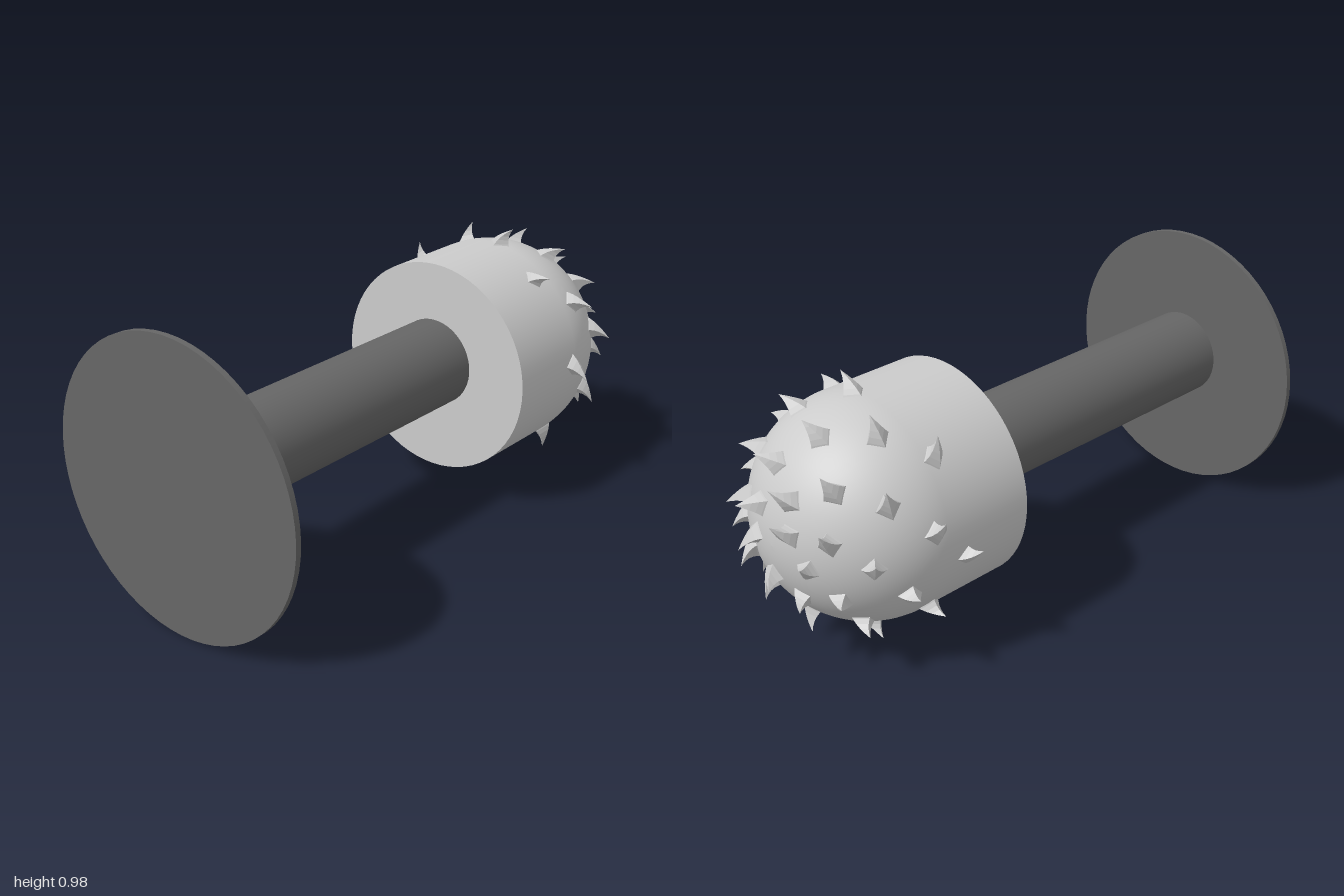
import * as THREE from 'three';

const AXIS_Y = 0.49;
const HEAD_R = 0.378;
const DOME_X = 0.58; // where the straight head wall turns into the dome
const SPIKES = 39;

const light = new THREE.MeshStandardMaterial({ color: 0xcccccc });
const faceted = new THREE.MeshStandardMaterial({ color: 0xcccccc, flatShading: true });
const dark = new THREE.MeshStandardMaterial({ color: 0x666666 });

function addMesh(parent, name, geometry, material) {
  const mesh = new THREE.Mesh(geometry, material);
  mesh.name = name;
  parent.add(mesh);
  return mesh;
}

// Cylinder lying along x between two positions
function rod(radius, x0, x1) {
  return new THREE.CylinderGeometry(radius, radius, x1 - x0, 64)
    .rotateZ(-Math.PI / 2)
    .translate((x0 + x1) / 2, 0, 0);
}

// Four-sided thorn whose tip curls over towards local +x
function thornGeometry() {
  const height = 0.075, sunk = 0.012;
  const geometry = new THREE.ConeGeometry(0.046, height, 4, 5);
  const p = geometry.attributes.position;
  for (let i = 0; i < p.count; i++) {
    const t = p.getY(i) / height + 0.5;
    p.setXYZ(i, p.getX(i) + 0.05 * t * t, t * height - sunk, p.getZ(i));
  }
  geometry.computeVertexNormals();
  return geometry;
}

export function createModel() {
  const model = new THREE.Group();
  model.name = 'spikedRoundHeadTool';
  const body = new THREE.Group();
  body.name = 'body';
  body.position.y = AXIS_Y;
  model.add(body);

  // End plate and shaft
  addMesh(body, 'endPlate', rod(0.488, -1, -0.98), dark);
  addMesh(body, 'shaft', rod(0.155, -0.98, 0.26), dark).position.y = 0.02;

  // Head: straight wall running into a hemisphere, closed by a flat back
  const profile = [new THREE.Vector2(HEAD_R, 0.25)];
  for (let i = 0; i <= 24; i++) {
    const a = (i / 24) * Math.PI / 2;
    profile.push(new THREE.Vector2(i === 24 ? 0 : HEAD_R * Math.cos(a), DOME_X + HEAD_R * Math.sin(a)));
  }
  addMesh(body, 'head', new THREE.LatheGeometry(profile, 64).rotateZ(-Math.PI / 2), light);
  const back = new THREE.CircleGeometry(HEAD_R, 64).rotateY(-Math.PI / 2).translate(0.25, 0, 0);
  addMesh(body, 'headBack', back, light);

  // Thorns on a golden-angle spiral, all curling the same way round the axis
  const thorns = new THREE.Group();
  thorns.name = 'thorns';
  body.add(thorns);
  const thorn = thornGeometry();
  for (let i = 0; i < SPIKES; i++) {
    const polar = THREE.MathUtils.degToRad(13 + 2.33 * i);
    const turn = THREE.MathUtils.degToRad(174.5 - 137.508 * i);
    const normal = new THREE.Vector3(
      Math.cos(polar), Math.sin(polar) * Math.sin(turn), -Math.sin(polar) * Math.cos(turn));
    const curl = new THREE.Vector3(0, Math.cos(turn), Math.sin(turn));
    const side = new THREE.Vector3().crossVectors(curl, normal);
    const mesh = addMesh(thorns, 'thorn', thorn, faceted);
    mesh.quaternion.setFromRotationMatrix(new THREE.Matrix4().makeBasis(curl, normal, side));
    mesh.position.copy(normal).multiplyScalar(HEAD_R);
    mesh.position.x += DOME_X;
  }
  return model;
}
